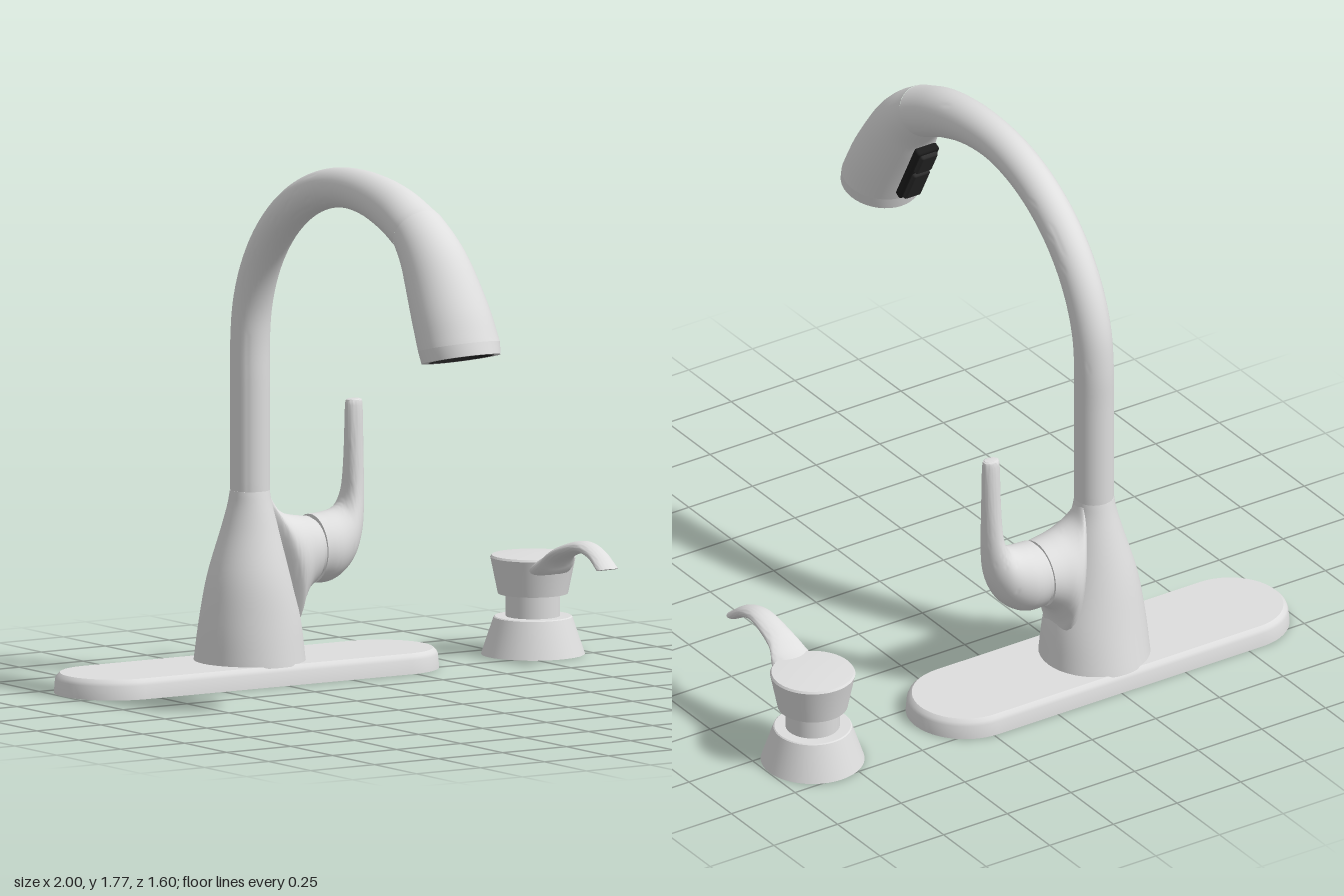
import * as THREE from 'three';
import { toCreasedNormals } from 'three/addons/utils/BufferGeometryUtils.js';
import { RoundedBoxGeometry } from 'three/addons/geometries/RoundedBoxGeometry.js';

const V = (x, y, z) => new THREE.Vector3(x, y, z);
const X = V(1, 0, 0), Z = V(0, 0, 1);

// Joins rings of equal point count into a skin, with optional end caps
function skin(rings, capStart, capEnd) {
  const n = rings[0].length, pos = [], idx = [];
  rings.forEach(r => r.forEach(p => pos.push(p.x, p.y, p.z)));
  for (let i = 0; i < rings.length - 1; i++) {
    for (let j = 0; j < n; j++) {
      const a = i * n + j, b = i * n + (j + 1) % n;
      idx.push(a, b, a + n, b, b + n, a + n);
    }
  }
  const cap = (k, start) => {
    const c = rings[k].reduce((s, p) => s.add(p), V(0, 0, 0)).divideScalar(n);
    const m = pos.push(c.x, c.y, c.z) / 3 - 1;
    for (let j = 0; j < n; j++) {
      const a = k * n + j, b = k * n + (j + 1) % n;
      idx.push(m, start ? b : a, start ? a : b);
    }
  };
  if (capStart) cap(0, true);
  if (capEnd) cap(rings.length - 1, false);
  const g = new THREE.BufferGeometry();
  g.setAttribute('position', new THREE.Float32BufferAttribute(pos, 3));
  g.setIndex(idx);
  return toCreasedNormals(g, 0.6);
}

// Elliptical loft: each section is [edge point, opposite edge point, half width along axis]
function loft(sections, axis, { steps = 5, capStart = false, capEnd = false, flip = false } = {}) {
  const curve = k => new THREE.CatmullRomCurve3(
    sections.map(s => (k < 2 ? s[k] : V(s[2], 0, 0))), false, 'catmullrom');
  const [A, B, W] = [0, 1, 2].map(curve);
  const count = (sections.length - 1) * steps, n = 40, rings = [];
  const side = flip ? -1 : 1;
  for (let i = 0; i <= count; i++) {
    const t = i / count, a = A.getPoint(t), b = B.getPoint(t), w = W.getPoint(t).x * side;
    const c = a.clone().add(b).multiplyScalar(0.5), u = a.clone().sub(c);
    rings.push(Array.from({ length: n }, (_, j) => {
      const th = j / n * Math.PI * 2;
      return c.clone().addScaledVector(u, Math.cos(th)).addScaledVector(axis, w * Math.sin(th));
    }));
  }
  return skin(rings, capStart, capEnd);
}

// Stadium-shaped ring for the deck plate, counterclockwise about +y
function stadium(r, y) {
  return Array.from({ length: 50 }, (_, j) => {
    const end = j < 25, th = -Math.PI / 2 + (end ? j : j - 1) / 24 * Math.PI;
    return V((end ? 0.235 : -0.805) + r * Math.cos(th), y, -0.605 - r * Math.sin(th));
  });
}

export function createModel() {
  const model = new THREE.Group();
  const mat = (name, color) => {
    const m = new THREE.MeshStandardMaterial({ color });
    m.name = name;
    return m;
  };
  const metal = mat('brushed metal', 0xdedede);
  const black = mat('black rubber', 0x1c1c1c);
  const dark = mat('dark button', 0x2c2c2c);
  const add = (name, geo, m = metal, parent = model) => {
    const mesh = new THREE.Mesh(geo, m);
    mesh.name = name;
    parent.add(mesh);
    return mesh;
  };

  // Deck plate: shallow shell with a recessed underside
  add('deckPlate', skin([
    stadium(0.178, 0.025), stadium(0.182, 0), stadium(0.195, 0), stadium(0.191, 0.045),
    stadium(0.186, 0.056), stadium(0.175, 0.066),
  ], false, false));
  add('deckTop', skin([stadium(0.175, 0.066), stadium(0.174, 0.066)], false, true));
  add('deckUnderside', skin([stadium(0.18, 0.025), stadium(0.18, 0.03)], true, false));

  // Body column: [y, left x, right x, centre z, half depth]
  const column = [
    [0.06, -0.455, -0.09, -0.605, 0.188], [0.2, -0.447, -0.11, -0.595, 0.163],
    [0.35, -0.425, -0.15, -0.587, 0.135], [0.5, -0.38, -0.19, -0.586, 0.096],
    [0.58, -0.358, -0.212, -0.585, 0.076], [0.63, -0.35, -0.22, -0.585, 0.065],
  ].map(([y, l, r, z, w]) => [V(l, y, z), V(r, y, z), w]);
  add('bodyColumn', loft(column, Z, { capEnd: true }));

  // Side branch and lever: [top x, top y, bottom x, bottom y, half depth]
  const sideways = list => list.map(([tx, ty, bx, by, w]) => [V(tx, ty, -0.59), V(bx, by, -0.59), w]);
  add('handleBranch', loft(sideways([
    [-0.225, 0.63, -0.18, 0.09, 0.07], [-0.2, 0.575, -0.125, 0.16, 0.118],
    [-0.16, 0.545, -0.112, 0.225, 0.126], [-0.11, 0.532, -0.092, 0.272, 0.118],
    [-0.058, 0.525, -0.058, 0.302, 0.11],
  ]), Z, { capEnd: true }));
  const collar = add('handleCollar', new THREE.CylinderGeometry(0.102, 0.102, 0.03, 40));
  collar.rotation.z = Math.PI / 2;
  collar.position.set(-0.05, 0.415, -0.59);
  add('handleLever', loft(sideways([
    [-0.045, 0.53, -0.045, 0.303, 0.108], [0, 0.533, 0.01, 0.304, 0.107],
    [0.045, 0.542, 0.06, 0.328, 0.095], [0.073, 0.562, 0.105, 0.375, 0.079],
    [0.087, 0.605, 0.14, 0.455, 0.058], [0.09, 0.66, 0.154, 0.56, 0.043],
    [0.092, 0.75, 0.156, 0.7, 0.033], [0.094, 0.88, 0.155, 0.875, 0.024],
    [0.102, 0.898, 0.147, 0.898, 0.016],
  ]), Z, { capStart: true, capEnd: true }));

  // Arched spout: straight rise, then an arch widening towards the spray head
  const sx = -0.284;
  const inPlane = (list, x) => list.map(([az, ay, bz, by, w]) => [V(x, ay, az), V(x, by, bz), w]);
  const spout = [0.63, 0.8, 0.98].map(y => [-0.65, y, -0.52, y, 0.065]);
  for (let i = 0; i <= 9; i++) {
    const th = Math.PI - i / 9 * 1.95, c = Math.cos(th), s = Math.sin(th);
    const rx = c < 0 ? 0.615 : 0.7, z = 0.03 + rx * c, y = 1.12 + 0.577 * s;
    const r = 0.065 + 0.034 * THREE.MathUtils.smoothstep(z, -0.1, 0.7);
    const nrm = new THREE.Vector2(c / rx, s / 0.577).normalize().multiplyScalar(r);
    spout.push([z + nrm.x, y + nrm.y, z - nrm.x, y - nrm.y, r]);
  }
  spout.push([0.462, 1.676, 0.368, 1.532, 0.092]);
  add('spout', loft(inPlane(spout, sx), X, { flip: true }));

  // Spray head with a lip and a recessed nozzle
  add('sprayHead', loft(inPlane([
    [0.463, 1.677, 0.368, 1.532, 0.092], [0.556, 1.613, 0.41, 1.475, 0.103],
    [0.635, 1.533, 0.443, 1.41, 0.115], [0.73, 1.393, 0.489, 1.318, 0.13],
    [0.787, 1.283, 0.534, 1.222, 0.137],
  ], sx), X, { flip: true }));
  add('sprayLip', loft(inPlane([
    [0.787, 1.283, 0.534, 1.222, 0.137], [0.8, 1.243, 0.547, 1.182, 0.131],
  ], sx), X, { flip: true, steps: 1 }));
  add('sprayRim', loft(inPlane([
    [0.8, 1.243, 0.547, 1.182, 0.131], [0.778, 1.238, 0.569, 1.187, 0.108],
  ], sx), X, { flip: true, steps: 1 }));
  add('sprayWell', loft(inPlane([
    [0.778, 1.238, 0.569, 1.187, 0.108], [0.768, 1.264, 0.563, 1.214, 0.106],
  ], sx), X, { flip: true, steps: 1, capEnd: true }), black);

  // Spray control on the back of the head
  const control = new THREE.Group();
  control.name = 'sprayControl';
  control.position.set(sx, 1.36, 0.454);
  control.rotation.x = -0.48;
  model.add(control);
  add('controlPlate', new RoundedBoxGeometry(0.085, 0.25, 0.03, 2, 0.008), black, control);
  for (const [name, y, h] of [['upperButton', 0.07, 0.09], ['lowerButton', -0.05, 0.13]]) {
    add(name, new RoundedBoxGeometry(0.065, h, 0.03, 2, 0.008), dark, control).position.set(0, y, -0.014);
  }

  // Soap dispenser: hollow foot, neck and flared cap
  const soap = new THREE.Group();
  soap.name = 'soapDispenser';
  soap.position.set(0.827, 0, -0.594);
  model.add(soap);
  const lathe = pts => toCreasedNormals(
    new THREE.LatheGeometry(pts.map(p => new THREE.Vector2(...p)), 48), 0.6);
  add('dispenserFoot', lathe([
    [0, 0.1], [0.11, 0.1], [0.155, 0], [0.17, 0], [0.129, 0.122], [0.125, 0.125], [0, 0.125],
  ]), metal, soap);
  add('dispenserNeck', new THREE.CylinderGeometry(0.089, 0.089, 0.09, 40), metal, soap).position.y = 0.165;
  add('dispenserCap', lathe([
    [0, 0.2], [0.115, 0.2], [0.138, 0.312], [0.14, 0.32], [0.135, 0.327], [0, 0.335],
  ]), metal, soap);
  add('dispenserSpout', loft(inPlane([
    [-0.52, 0.32, -0.52, 0.24, 0.088], [-0.46, 0.342, -0.465, 0.275, 0.074],
    [-0.4, 0.38, -0.42, 0.325, 0.053], [-0.29, 0.408, -0.3, 0.367, 0.041],
    [-0.2, 0.388, -0.225, 0.357, 0.037], [-0.126, 0.335, -0.168, 0.325, 0.04],
  ], 0.825), X, { flip: true, capStart: true, capEnd: true }));

  return model;
}
